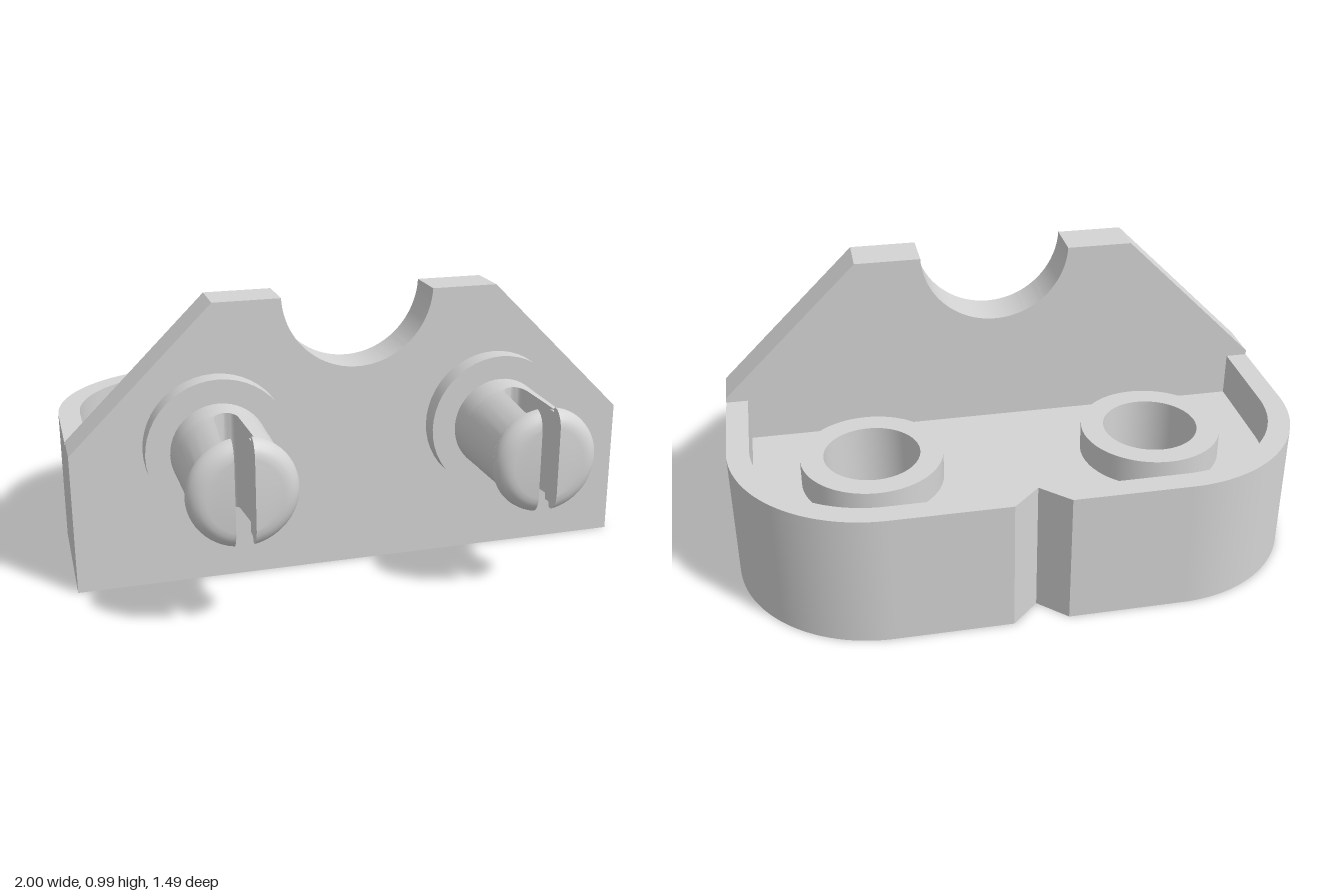
import * as THREE from 'three';
import { toCreasedNormals } from 'three/addons/utils/BufferGeometryUtils.js';

const grey = new THREE.MeshStandardMaterial({ color: 0xd4d4d4 });
grey.name = 'light grey';

const BACK = 0.745, PLATE_BACK = 0.098, PLATE_FRONT = 0.255;
const BASE_H = 0.48, FLOOR_LOW = 0.16, FLOOR_HIGH = 0.32, BOSS_LOW = 0.06, BOSS_HIGH = 0.42;
const HOLE_X = 0.505, HOLE_Z = -0.25, PIN_Y = 0.495;

function part(name, geometry) {
  const mesh = new THREE.Mesh(toCreasedNormals(geometry, 0.6), grey);
  mesh.name = name;
  return mesh;
}

// Extrude a plan shape (x, -z) upwards from y0 to y1
function upright(shape, y0, y1) {
  return new THREE.ExtrudeGeometry(shape, { depth: y1 - y0, bevelEnabled: false, curveSegments: 32 })
    .rotateX(-Math.PI / 2).translate(0, y0, 0);
}

function circle(x, y, r) {
  return new THREE.Path().absarc(x, y, r, 0, Math.PI * 2, false);
}

// Rounded plan outline with a V notch at the back, inset by t
function outline(t, notchHalf, notchTip) {
  const c = BACK - 0.5, r = 0.5 - t, top = BACK - t;
  const s = new THREE.Shape();
  s.moveTo(-1 + t, -PLATE_BACK);
  s.lineTo(1 - t, -PLATE_BACK);
  s.lineTo(1 - t, c);
  s.absarc(0.5, c, r, 0, Math.PI / 2, false);
  s.lineTo(notchHalf, top);
  s.lineTo(0, notchTip);
  s.lineTo(-notchHalf, top);
  s.absarc(-0.5, c, r, Math.PI / 2, Math.PI, false);
  s.closePath();
  return s;
}

// U-shaped wall: along the outer outline, then back along the inner one
function wallShape(outer, inner) {
  const arm = (shape) => {
    const p = shape.getPoints(24).filter((q, i, l) =>
      q.y > -PLATE_BACK + 1e-5 && (i === 0 || q.distanceTo(l[i - 1]) > 1e-5));
    const foot = (q) => new THREE.Vector2(q.x, -PLATE_BACK);
    return [foot(p[0]), ...p, foot(p[p.length - 1])];
  };
  return new THREE.Shape([...arm(outer), ...arm(inner).reverse()]);
}

// Half of the split pin tip: D-shaped sections [z, radius, half slot width]
function pinHalf() {
  const rings = [[0.42, 0.165, 0]];
  for (let i = 1; i <= 6; i++) {
    const a = (i / 6) * Math.PI / 2;
    rings.push([0.42 + 0.04 * (1 - Math.cos(a)), 0.165, 0.04 * Math.sin(a)]);
  }
  rings.push([0.66, 0.162, 0.053], [0.66, 0.162, 0.032], [0.688, 0.162, 0.032],
    [0.69, 0.175, 0.032], [0.698, 0.18, 0.032], [0.71, 0.178, 0.032], [0.723, 0.17, 0.032],
    [0.735, 0.156, 0.032], [0.742, 0.14, 0.032], [0.745, 0.122, 0.032]);
  const n = 24, row = n + 1, pos = [], idx = [];
  for (const [z, r, w] of rings) {
    const A = Math.acos(w / r);
    for (let j = 0; j <= n; j++) {
      const t = -A + (2 * A * j) / n;
      pos.push(r * Math.cos(t), r * Math.sin(t), z);
    }
  }
  for (let i = 0; i < rings.length - 1; i++) {
    for (let j = 0; j <= n; j++) {
      const k = (j + 1) % row;
      const a = i * row + j, b = i * row + k, c = a + row, d = b + row;
      idx.push(a, b, d, a, d, c);
    }
  }
  const last = (rings.length - 1) * row;
  for (let j = 1; j < n; j++) idx.push(last, last + j, last + j + 1);
  const g = new THREE.BufferGeometry();
  g.setAttribute('position', new THREE.Float32BufferAttribute(pos, 3));
  g.setIndex(idx);
  return g;
}

function rod(rBack, rFront, z0, z1) {
  return new THREE.CylinderGeometry(rFront, rBack, z1 - z0, 48)
    .rotateX(Math.PI / 2).translate(0, 0, (z0 + z1) / 2);
}

export function createModel() {
  const model = new THREE.Group();
  model.name = 'pinBracket';

  // Upright plate with sloped shoulders and a round cut-out
  const p = new THREE.Shape();
  p.moveTo(-1, 0);
  p.lineTo(1, 0);
  p.lineTo(1, 0.497);
  p.lineTo(0.505, 0.988);
  p.absarc(0, 1, 0.27, -0.044, -Math.PI + 0.044, true);
  p.lineTo(-0.505, 0.988);
  p.lineTo(-1, 0.497);
  p.closePath();
  const plate = new THREE.ExtrudeGeometry(p, {
    depth: PLATE_FRONT - PLATE_BACK, bevelEnabled: false, curveSegments: 40,
  }).translate(0, 0, PLATE_BACK);
  model.add(part('frontPlate', plate));

  // Rim wall and the floor half-way up inside it
  const outer = outline(0, 0.095, 0.655);
  const inner = outline(0.078, 0.122, 0.545);
  model.add(part('rimWall', upright(wallShape(outer, inner), 0, BASE_H)));
  for (const s of [-1, 1]) inner.holes.push(circle(s * HOLE_X, -HOLE_Z, 0.25));
  model.add(part('floor', upright(inner, FLOOR_LOW, FLOOR_HIGH)));

  for (const s of [-1, 1]) {
    const side = s > 0 ? 'left' : 'right';

    // Tubular boss through the floor, a little lower than the rim
    const ring = new THREE.Shape().absarc(s * HOLE_X, -HOLE_Z, 0.25, 0, Math.PI * 2, false);
    ring.holes.push(circle(s * HOLE_X, -HOLE_Z, 0.169));
    model.add(part(side + 'Boss', upright(ring, BOSS_LOW, BOSS_HIGH)));

    // Split pin with collar
    const pin = new THREE.Group();
    pin.name = side + 'Pin';
    pin.position.set(s * HOLE_X, PIN_Y, 0);
    pin.add(part('collar', rod(0.25, 0.25, PLATE_FRONT, 0.325)));
    pin.add(part('shaft', rod(0.167, 0.165, 0.325, 0.42)));
    for (const turn of [0, Math.PI]) {
      const half = part('splitTip', pinHalf());
      half.rotation.z = turn;
      pin.add(half);
    }
    model.add(pin);
  }
  return model;
}
